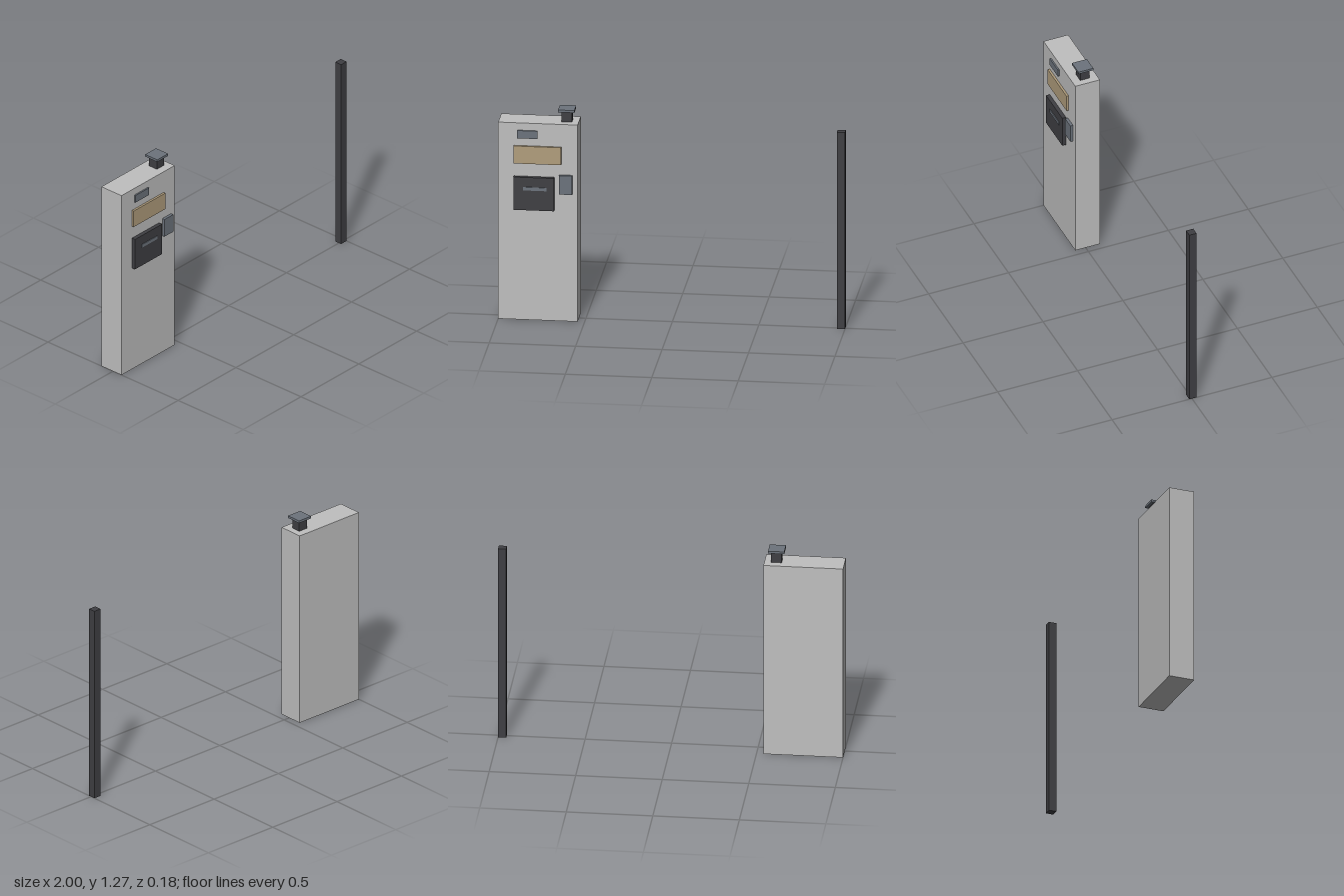
import * as THREE from 'three';

const material = (name, color) => {
  const m = new THREE.MeshStandardMaterial({ color });
  m.name = name;
  return m;
};

// Box given by its extents on each axis
function block(name, mat, [x0, x1], [y0, y1], [z0, z1]) {
  const mesh = new THREE.Mesh(new THREE.BoxGeometry(x1 - x0, y1 - y0, z1 - z0), mat);
  mesh.position.set((x0 + x1) / 2, (y0 + y1) / 2, (z0 + z1) / 2);
  mesh.name = name;
  return mesh;
}

export function createModel() {
  const lightGrey = material('light grey', 0xbfbfbf);
  const charcoal = material('charcoal', 0x3f3f43);
  const slate = material('slate grey', 0x6c737c);
  const tan = material('tan', 0xb09d7c);

  const model = new THREE.Group();
  model.name = 'panelAndPost';
  const face = 0.065; // front of the cabinet

  // Tall cabinet with a capped stub on top
  model.add(
    block('cabinet', lightGrey, [-1, -0.54], [0, 1.193], [-0.089, face]),
    block('stub', charcoal, [-0.64, -0.579], [1.193, 1.256], [-0.042, 0.017]),
    block('stubCap', slate, [-0.657, -0.563], [1.256, 1.27], [-0.058, 0.035])
  );

  // Raised plates on the cabinet front
  model.add(
    block('smallPlate', slate, [-0.889, -0.772], [1.102, 1.149], [face, 0.074]),
    block('labelPlate', tan, [-0.909, -0.635], [0.95, 1.056], [face, 0.078]),
    block('darkPanel', charcoal, [-0.909, -0.675], [0.672, 0.871], [face, 0.088]),
    block('panelSlot', slate, [-0.852, -0.718], [0.793, 0.813], [0.088, 0.092]),
    block('sidePlate', slate, [-0.647, -0.571], [0.773, 0.887], [face, 0.082])
  );

  // Separate upright post
  model.add(block('post', charcoal, [0.953, 1], [0, 1.193], [-0.028, 0.017]));
  return model;
}
